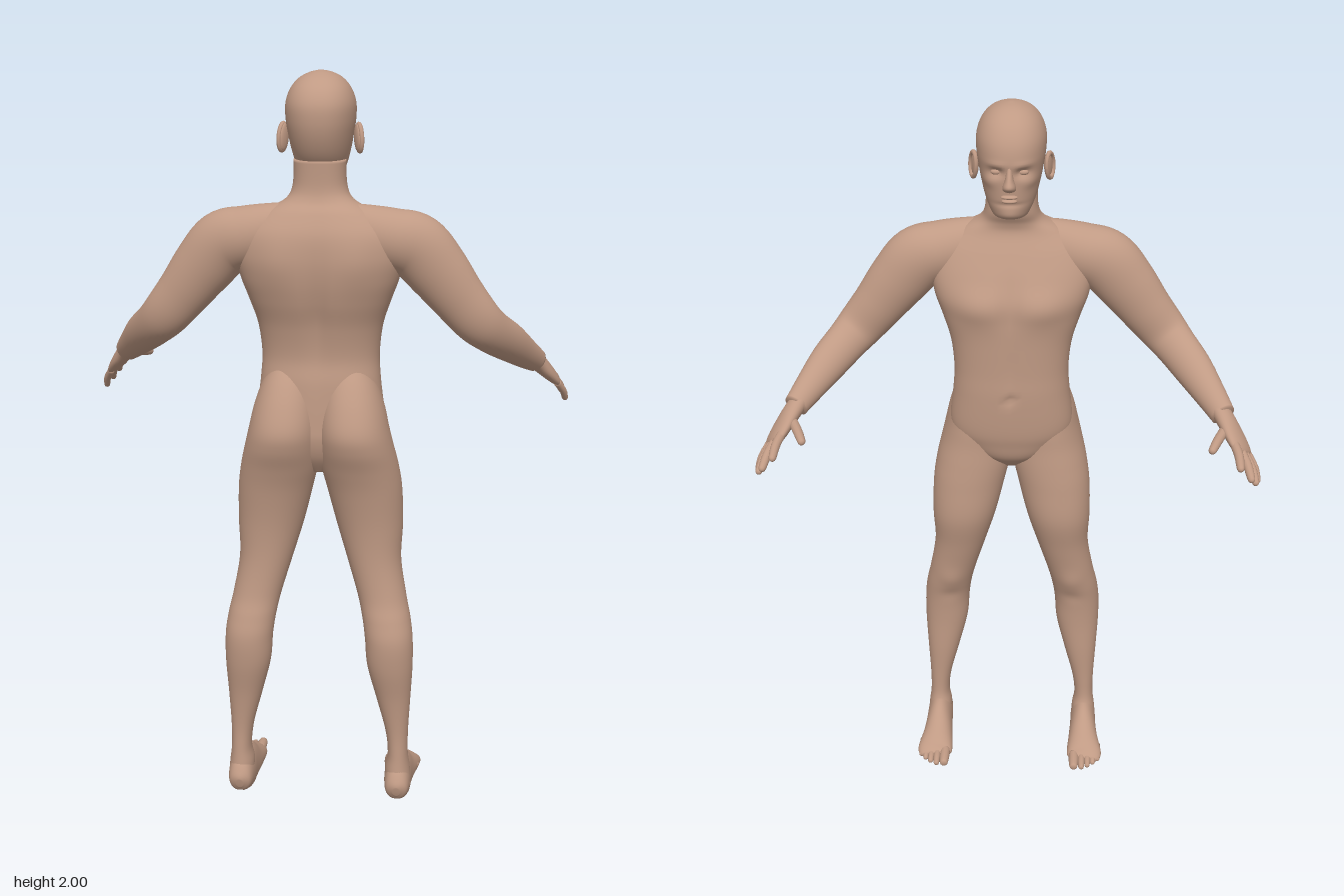
import * as THREE from 'three';

const skin = new THREE.MeshStandardMaterial({ color: 0xc09a84 });
skin.name = 'skin';

// Smoothly interpolates rows of numbers (Catmull-Rom on every column)
function smoothRows(rows, steps) {
  const out = [], last = rows.length - 1;
  for (let i = 0; i < last; i++) {
    const a = rows[Math.max(i - 1, 0)], b = rows[i], c = rows[i + 1], d = rows[Math.min(i + 2, last)];
    for (let s = 0; s < steps; s++) {
      const t = s / steps;
      out.push(b.map((v, k) => v + 0.5 * t * (c[k] - a[k] + t * (2 * a[k] - 5 * v + 4 * c[k] - d[k]
        + t * (3 * (v - c[k]) + d[k] - a[k])))));
    }
  }
  out.push(rows[last]);
  return out;
}

// Closed skin over rings of points
function skinRings(rings) {
  const n = rings[0].length, m = rings.length, pos = [], index = [];
  rings.forEach((ring) => ring.forEach((p) => pos.push(p.x, p.y, p.z)));
  [rings[0], rings[m - 1]].forEach((ring) => {
    const c = new THREE.Vector3();
    ring.forEach((p) => c.addScaledVector(p, 1 / n));
    pos.push(c.x, c.y, c.z);
  });
  for (let j = 0; j < n; j++) {
    const k = (j + 1) % n;
    for (let i = 0; i < m - 1; i++) {
      const a = i * n, b = a + n;
      index.push(a + j, b + j, a + k, b + j, b + k, a + k);
    }
    index.push(m * n, j, k, m * n + 1, (m - 1) * n + k, (m - 1) * n + j);
  }
  const geo = new THREE.BufferGeometry();
  geo.setAttribute('position', new THREE.Float32BufferAttribute(pos, 3));
  geo.setIndex(index);
  geo.computeVertexNormals();
  return geo;
}

// Ring of a superellipse around c, spanned by u and v
function ring(c, u, v, n, e = 2) {
  const soft = (w) => Math.sign(w) * Math.pow(Math.abs(w), 2 / e);
  return Array.from({ length: n }, (_, j) => {
    const t = (j / n) * Math.PI * 2;
    return c.clone().addScaledVector(u, soft(Math.cos(t))).addScaledVector(v, soft(Math.sin(t)));
  });
}

// Upright form; rows from bottom to top: [y, xMin, xMax, zFront, zBack]
function column(rows, n, steps, e) {
  return skinRings(smoothRows(rows, steps).map(([y, x0, x1, z0, z1]) => ring(
    new THREE.Vector3((x0 + x1) / 2, y, (z0 + z1) / 2),
    new THREE.Vector3((x1 - x0) / 2, 0, 0), new THREE.Vector3(0, 0, (z1 - z0) / 2), n, e)));
}
const symmetric = (rows) => rows.map(([y, w, z0, z1]) => [y, -w, w, z0, z1]);

// Form along a path; rows: [x, y, z, radius along ref, radius across]
function limb(rows, ref, n, steps) {
  const fine = smoothRows(rows, steps), pts = fine.map((r) => new THREE.Vector3(r[0], r[1], r[2]));
  return skinRings(fine.map((r, i) => {
    const t = pts[Math.min(i + 1, pts.length - 1)].clone().sub(pts[Math.max(i - 1, 0)]).normalize();
    const u = ref.clone().addScaledVector(t, -ref.dot(t)).normalize();
    const v = u.clone().cross(t);
    return ring(pts[i], u.multiplyScalar(r[3]), v.multiplyScalar(r[4]), n);
  }));
}

// Raises or sinks soft spots, alike on both sides: [x, y, z, rx, ry, amount]
function sculpt(geo, spots) {
  const p = geo.attributes.position, nor = geo.attributes.normal;
  for (let i = 0; i < p.count; i++) {
    let d = 0;
    for (const [x, y, z, rx, ry, amount] of spots) {
      const q = ((Math.abs(p.getX(i)) - x) / rx) ** 2 + ((p.getY(i) - y) / ry) ** 2 + ((p.getZ(i) - z) / 0.07) ** 2;
      d += amount * Math.exp(-q);
    }
    p.setXYZ(i, p.getX(i) + nor.getX(i) * d, p.getY(i) + nor.getY(i) * d, p.getZ(i) + nor.getZ(i) * d);
  }
  geo.computeVertexNormals();
  return geo;
}

function mirrored(geo) {
  const g = geo.clone().scale(-1, 1, 1), idx = g.index.array;
  for (let i = 0; i < idx.length; i += 3) [idx[i], idx[i + 1]] = [idx[i + 1], idx[i]];
  g.computeVertexNormals();
  return g;
}

// Finger or toe through three points, with a rounded tip
function digit(a, b, c, r, ref) {
  const mix = (t) => b.map((v, k) => v + (c[k] - v) * t);
  return limb([[...a, r, r], [...b, r, r], [...mix(0.75), r * 0.85, r * 0.85],
    [...mix(0.94), r * 0.6, r * 0.6], [...c, r * 0.15, r * 0.15]], ref, 12, 4);
}

const blob = (x, y, z, sx, sy, sz) => new THREE.SphereGeometry(1, 20, 14).scale(sx, sy, sz).translate(x, y, z);

export function createModel() {
  const model = new THREE.Group();
  model.name = 'figure';
  const add = (name, geo) => {
    const mesh = new THREE.Mesh(geo, skin);
    mesh.name = name;
    model.add(mesh);
  };
  const addPair = (name, geo) => {
    add('left' + name, geo);
    add('right' + name, mirrored(geo));
  };
  const X = new THREE.Vector3(1, 0, 0), Z = new THREE.Vector3(0, 0, 1);

  // Torso and neck, with chest, shoulder blades, spine and navel
  add('torso', sculpt(column(symmetric([
    [0.955, 0.03, 0.09, 0.17], [1.0, 0.1, 0.04, 0.2], [1.05, 0.152, 0.022, 0.215], [1.1, 0.17, 0.012, 0.215],
    [1.2, 0.16, 0.005, 0.21], [1.27, 0.156, 0.005, 0.202], [1.35, 0.165, 0.003, 0.214], [1.42, 0.187, 0.001, 0.235],
    [1.48, 0.208, 0.004, 0.247], [1.54, 0.215, 0.025, 0.25], [1.6, 0.195, 0.052, 0.242], [1.65, 0.14, 0.075, 0.218],
    [1.68, 0.088, 0.074, 0.196], [1.715, 0.07, 0.06, 0.187], [1.78, 0.067, 0.06, 0.188],
  ]), 72, 7, 2.3), [
    [0.085, 1.465, 0, 0.06, 0.045, 0.011], [0, 1.47, 0, 0.022, 0.08, -0.008], [0, 1.3, 0, 0.015, 0.09, -0.004],
    [0.1, 1.53, 0.24, 0.05, 0.07, 0.006], [0, 1.4, 0.23, 0.025, 0.18, -0.012], [0, 1.2, 0, 0.012, 0.012, -0.01],
  ]));

  // Head with brow, eye sockets and cheekbones
  add('head', sculpt(column(symmetric([
    [1.715, 0.03, 0.025, 0.08], [1.725, 0.045, -0.004, 0.11], [1.745, 0.057, -0.014, 0.145], [1.77, 0.067, -0.018, 0.175],
    [1.8, 0.075, -0.021, 0.197], [1.84, 0.083, -0.024, 0.214], [1.88, 0.089, -0.026, 0.222], [1.92, 0.089, -0.018, 0.22],
    [1.955, 0.077, 0.002, 0.202], [1.98, 0.056, 0.03, 0.172], [1.994, 0.03, 0.06, 0.138], [2.0, 0.005, 0.093, 0.107],
  ]), 80, 7, 2.2), [
    [0.034, 1.849, -0.015, 0.018, 0.012, -0.012], [0.032, 1.87, -0.02, 0.024, 0.008, 0.003],
    [0.052, 1.823, 0, 0.018, 0.015, 0.004], [0, 1.738, -0.01, 0.022, 0.012, 0.004], [0, 1.765, -0.02, 0.03, 0.006, -0.004],
  ]));
  add('nose', column(symmetric([
    [1.803, 0.01, -0.032, 0], [1.809, 0.017, -0.044, 0], [1.82, 0.016, -0.053, 0], [1.835, 0.011, -0.045, 0],
    [1.855, 0.008, -0.032, 0], [1.872, 0.006, -0.022, 0],
  ]), 24, 4));
  add('upperLip', blob(0, 1.788, -0.02, 0.022, 0.0055, 0.011));
  add('lowerLip', blob(0, 1.777, -0.019, 0.02, 0.006, 0.011));
  addPair('Eyelid', blob(0.034, 1.849, -0.003, 0.014, 0.008, 0.009));

  // Ears: a shallow cup with a rim
  const ear = (g) => g.rotateX(-0.15).rotateY(0.45).translate(0.094, 1.832, 0.106);
  addPair('EarCup', ear(blob(0, 0, 0, 0.007, 0.035, 0.019)));
  addPair('EarRim', ear(new THREE.TorusGeometry(0.03, 0.006, 8, 28).rotateY(Math.PI / 2).scale(1, 1.12, 0.65).translate(0.005, 0, 0)));

  // Arms, from inside the shoulder to the wrist
  addPair('Arm', limb([
    [0.07, 1.6, 0.15, 0.05, 0.073], [0.13, 1.592, 0.148, 0.064, 0.076], [0.19, 1.58, 0.143, 0.071, 0.08],
    [0.25, 1.56, 0.136, 0.069, 0.086], [0.305, 1.5, 0.132, 0.063, 0.081], [0.36, 1.43, 0.128, 0.055, 0.071],
    [0.41, 1.37, 0.121, 0.048, 0.064], [0.445, 1.335, 0.095, 0.047, 0.058], [0.49, 1.295, 0.04, 0.044, 0.053],
    [0.535, 1.25, -0.025, 0.036, 0.042], [0.568, 1.217, -0.08, 0.03, 0.033],
  ], Z, 40, 6));

  // Hands
  const across = new THREE.Vector3(0.62, -0.59, 0.52);
  addPair('Palm', limb([
    [0.555, 1.23, -0.06, 0.028, 0.024], [0.572, 1.212, -0.09, 0.033, 0.024], [0.592, 1.187, -0.122, 0.043, 0.021],
    [0.61, 1.163, -0.153, 0.045, 0.017], [0.618, 1.153, -0.167, 0.038, 0.012], [0.621, 1.149, -0.172, 0.02, 0.005],
  ], across, 28, 4));
  [
    ['Thumb', [0.575, 1.2, -0.115], [0.55, 1.19, -0.17], [0.53, 1.178, -0.218], 0.013],
    ['IndexFinger', [0.592, 1.181, -0.165], [0.602, 1.168, -0.21], [0.605, 1.15, -0.262], 0.012],
    ['MiddleFinger', [0.608, 1.163, -0.16], [0.626, 1.14, -0.206], [0.637, 1.113, -0.253], 0.012],
    ['RingFinger', [0.62, 1.15, -0.153], [0.64, 1.122, -0.192], [0.651, 1.092, -0.232], 0.0115],
    ['LittleFinger', [0.632, 1.139, -0.142], [0.651, 1.109, -0.168], [0.66, 1.077, -0.192], 0.01],
  ].forEach(([name, a, b, c, r]) => addPair(name, digit(a, b, c, r, across)));

  // Legs, including the seat
  addPair('Leg', sculpt(column([
    [0.03, 0.19, 0.26, 0.11, 0.2], [0.08, 0.187, 0.256, 0.098, 0.194], [0.13, 0.194, 0.25, 0.111, 0.19],
    [0.2, 0.186, 0.25, 0.111, 0.19], [0.3, 0.16, 0.255, 0.106, 0.202], [0.4, 0.135, 0.26, 0.104, 0.222],
    [0.48, 0.128, 0.259, 0.098, 0.228], [0.54, 0.119, 0.251, 0.085, 0.217], [0.6, 0.105, 0.238, 0.072, 0.202],
    [0.7, 0.075, 0.222, 0.05, 0.195], [0.8, 0.045, 0.225, 0.027, 0.2], [0.9, 0.02, 0.222, 0.027, 0.217],
    [0.97, 0.004, 0.212, 0.03, 0.237], [1.03, 0, 0.198, 0.034, 0.259], [1.08, 0, 0.186, 0.035, 0.265],
    [1.14, 0.005, 0.172, 0.04, 0.246], [1.2, 0.02, 0.15, 0.06, 0.215], [1.25, 0.05, 0.12, 0.09, 0.18],
  ], 48, 6, 2.1), [[0.175, 0.575, 0.08, 0.03, 0.035, 0.006], [0.18, 0.51, 0.09, 0.03, 0.02, -0.003]]));

  // Feet with flat soles
  const foot = limb([
    [0.222, 0.03, 0.207, 0.01, 0.014], [0.222, 0.033, 0.195, 0.03, 0.036], [0.222, 0.04, 0.155, 0.037, 0.07],
    [0.222, 0.035, 0.1, 0.039, 0.076], [0.223, 0.025, 0.05, 0.044, 0.056], [0.226, 0.018, 0, 0.051, 0.037],
    [0.228, 0.014, -0.025, 0.05, 0.023], [0.227, 0.013, -0.042, 0.036, 0.012], [0.227, 0.013, -0.046, 0.015, 0.005],
  ], X, 36, 5);
  const fp = foot.attributes.position;
  for (let i = 0; i < fp.count; i++) fp.setY(i, Math.max(fp.getY(i), 0));
  foot.computeVertexNormals();
  addPair('Foot', foot);
  [[0.196, -0.085, 0.0145], [0.219, -0.083, 0.01], [0.237, -0.073, 0.0095], [0.253, -0.059, 0.009], [0.267, -0.042, 0.009]]
    .forEach(([x, z, r], i) => addPair('Toe' + (i + 1), digit(
      [x, 0.02, z + 0.065], [x, 0.017, z + 0.03], [x, r + 0.001, z], r, X)));

  return model;
}
